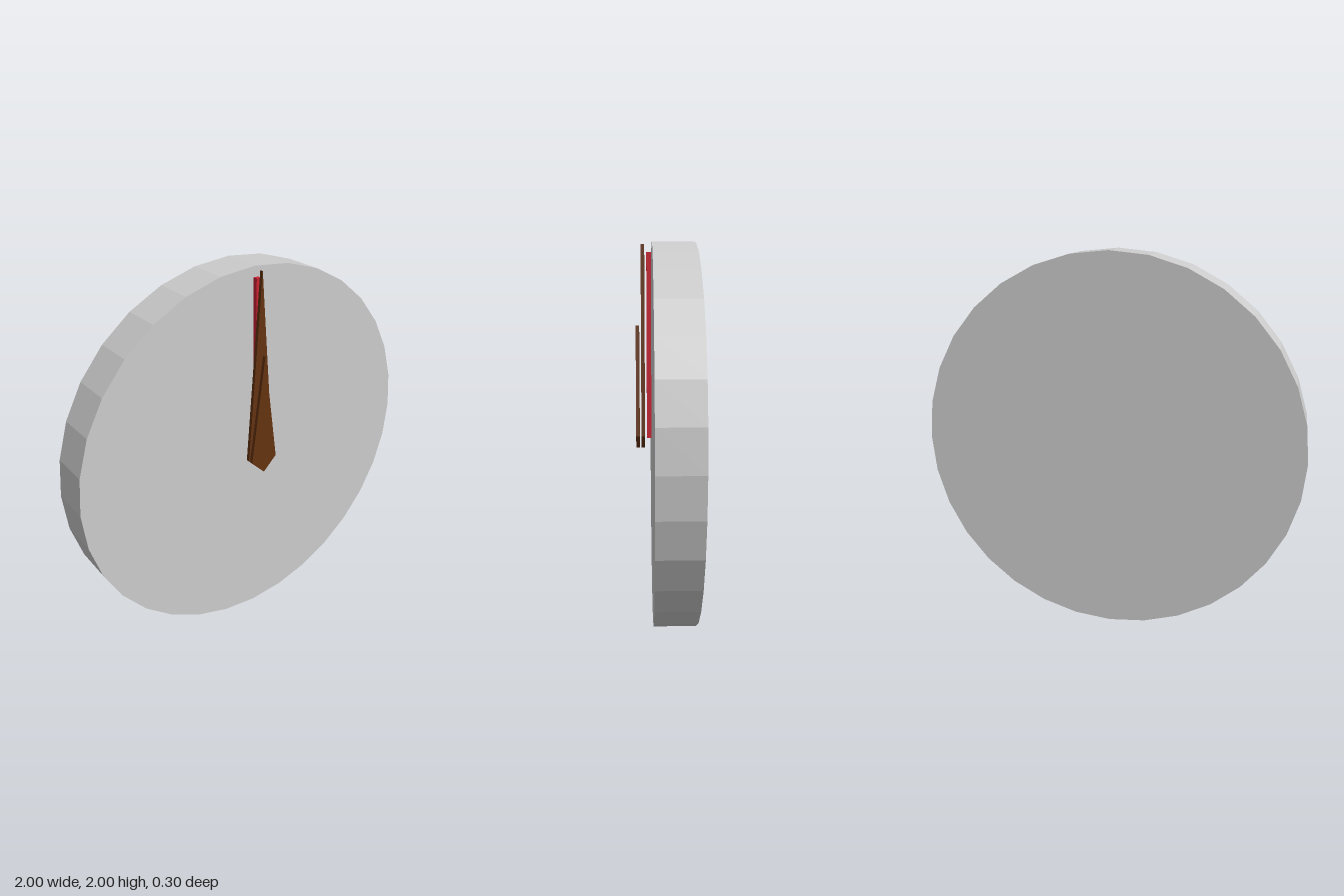
import * as THREE from 'three';

export function createModel() {
  const model = new THREE.Group();
  const grey = new THREE.MeshStandardMaterial({ color: 0xcccccc, flatShading: true });
  const brown = new THREE.MeshStandardMaterial({ color: 0x653311 });
  const red = new THREE.MeshStandardMaterial({ color: 0xcc2233 });

  const add = (name, geometry, material, x, y, z) => {
    const mesh = new THREE.Mesh(geometry, material);
    mesh.name = name;
    mesh.position.set(x, y, z);
    model.add(mesh);
  };

  // Faceted clock body, lying on its rim
  const body = new THREE.CylinderGeometry(1, 1, 0.215, 32).rotateX(Math.PI / 2);
  add('clockBody', body, grey, 0, 1, -0.0425);

  // Kite-shaped hand, pivoting at the clock centre
  const handGeometry = (length, depth) => {
    const kite = new THREE.Shape([
      new THREE.Vector2(0, -0.075),
      new THREE.Vector2(0.077, 0),
      new THREE.Vector2(0, length),
      new THREE.Vector2(-0.077, 0),
    ]);
    return new THREE.ExtrudeGeometry(kite, { depth, bevelEnabled: false });
  };
  add('hourHand', handGeometry(0.575, 0.019), brown, 0, 1, 0.131);
  add('minuteHand', handGeometry(0.988, 0.019), brown, 0, 1, 0.103);

  // Slim second hand, closest to the face
  add('secondHand', new THREE.BoxGeometry(0.025, 0.97, 0.024), red, 0, 1.463, 0.081);

  return model;
}
